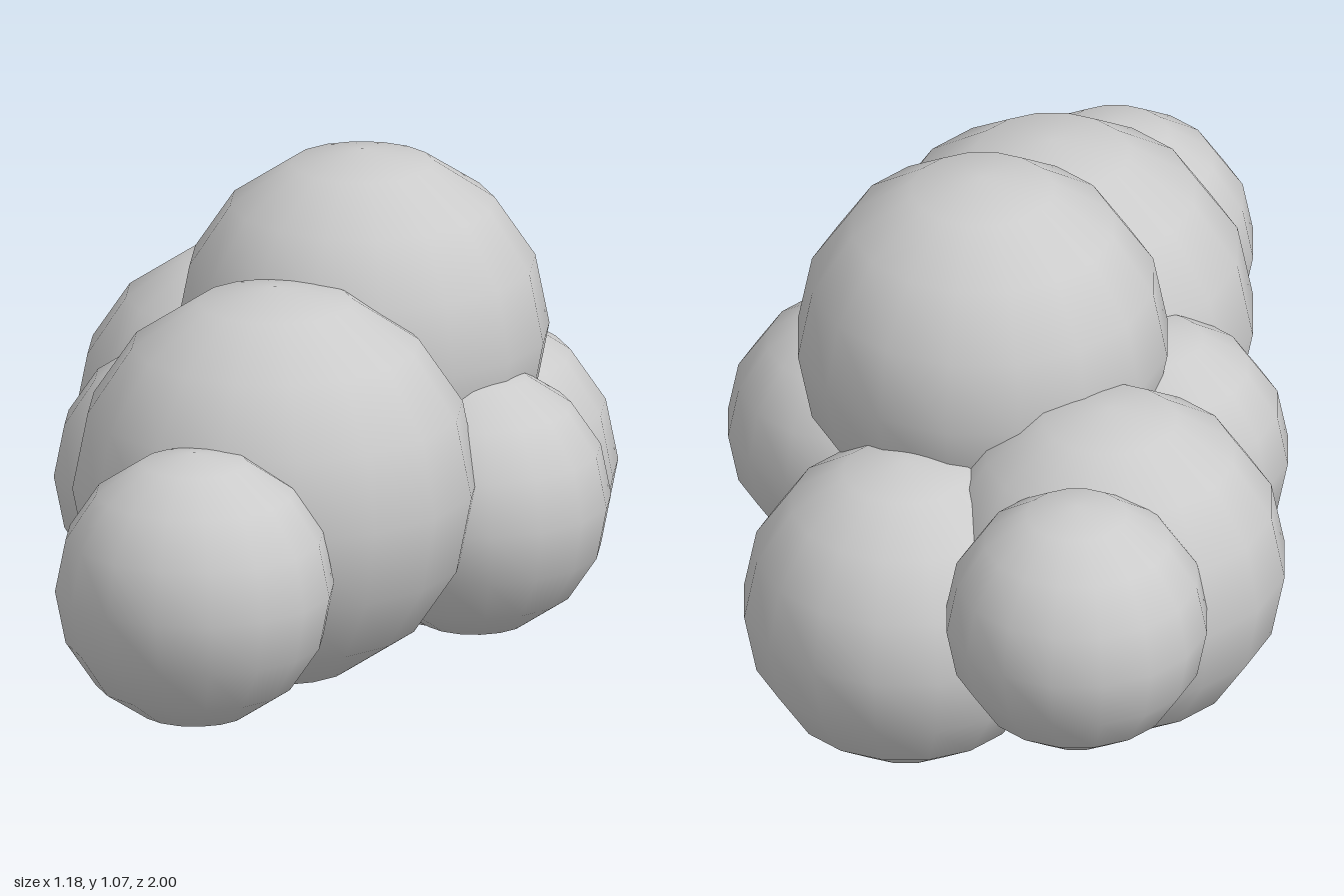
import * as THREE from 'three';

// Cloud of overlapping round puffs: name, centre x, y, z and radius
const PUFFS = [
  ['frontPuff', -0.03, 0.42, 0.727, 0.273],
  ['mainPuff', 0.01, 0.511, 0.3, 0.397],
  ['topPuff', 0.065, 0.703, -0.12, 0.366],
  ['leftPuff', 0.324, 0.413, -0.01, 0.267],
  ['rightPuff', -0.245, 0.418, -0.01, 0.273],
  ['backRightPuff', -0.247, 0.415, -0.42, 0.346],
  ['backLeftPuff', 0.142, 0.322, -0.5, 0.32],
  ['tailPuff', -0.245, 0.472, -0.742, 0.258],
];

export function createModel() {
  const cloud = new THREE.Group();
  cloud.name = 'cloud';
  const material = new THREE.MeshStandardMaterial({ color: 0xcccccc });
  // One smooth, low-segment ball shared by all puffs
  const ball = new THREE.SphereGeometry(1, 16, 8);

  for (const [name, x, y, z, radius] of PUFFS) {
    const puff = new THREE.Mesh(ball, material);
    puff.name = name;
    puff.position.set(x, y, z);
    puff.scale.setScalar(radius);
    cloud.add(puff);
  }
  return cloud;
}
